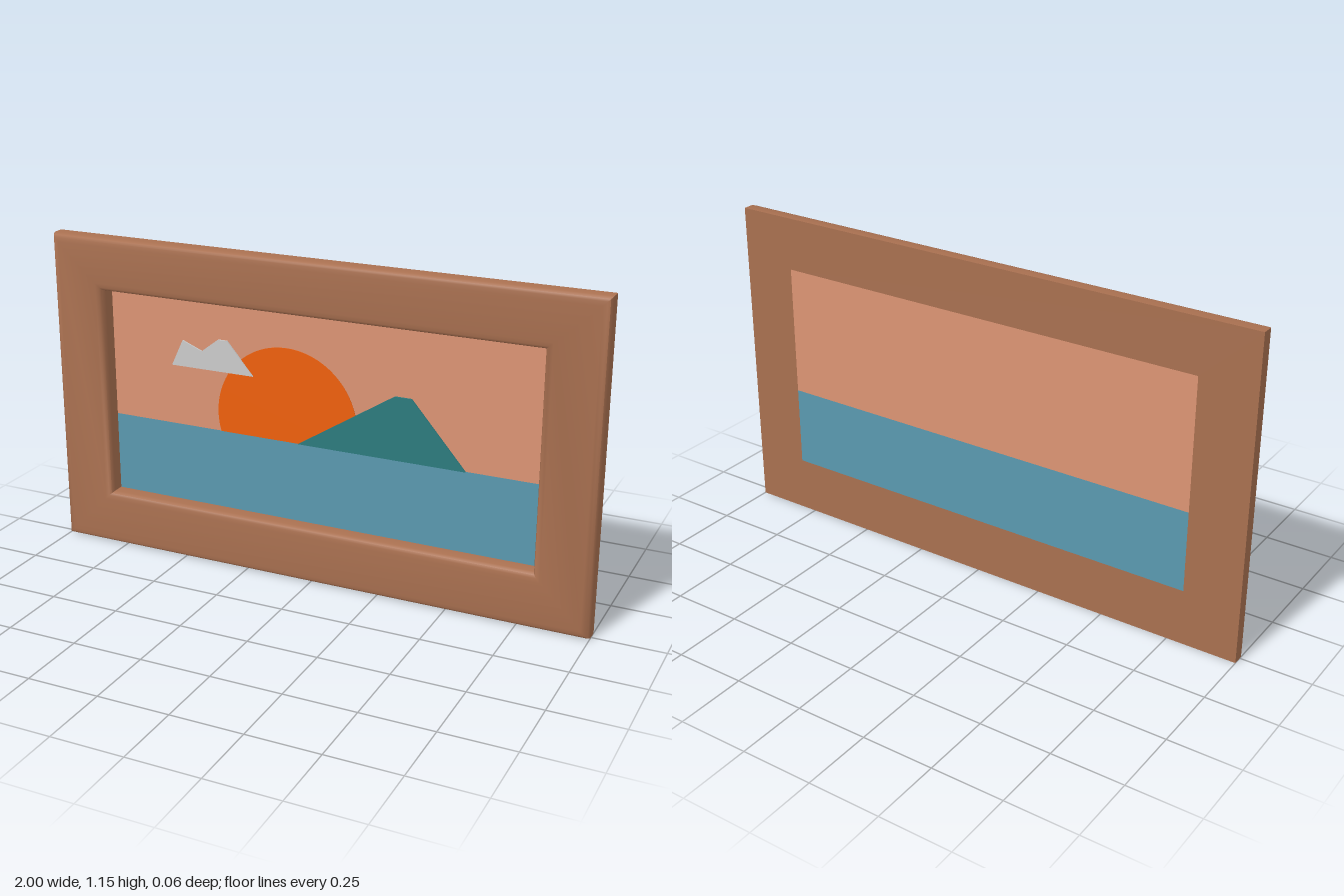
import * as THREE from 'three';
import { toCreasedNormals } from 'three/addons/utils/BufferGeometryUtils.js';

const BACK = -0.032, FRONT = 0.032, HORIZON = 0.49;
const OUTER = { x: 1, y0: 0, y1: 1.15 };
const HOLE = { x: 0.8, y0: 0.2, y1: 0.96 };

const material = (color) => new THREE.MeshStandardMaterial({ color, side: THREE.DoubleSide });

// Corners of a rectangle grown by d, counter-clockwise from the front
function rectLoop(r, d, z) {
  const x = r.x + d, y0 = r.y0 - d, y1 = r.y1 + d;
  return [[-x, y0, z], [x, y0, z], [x, y1, z], [-x, y1, z]];
}

// Mitred moulding: rounded front edges on both the outside and the opening
function frameGeometry() {
  const edge = [[0, BACK], [0, 0.008], [0.006, 0.024], [0.014, 0.029], [0.028, FRONT]];
  const loops = [
    ...edge.map(([d, z]) => rectLoop(OUTER, -d, z)),
    ...edge.slice().reverse().map(([d, z]) => rectLoop(HOLE, d, z)),
  ];
  const positions = [];
  loops.forEach((loop, i) => {
    const next = loops[(i + 1) % loops.length];
    for (let j = 0; j < 4; j++) {
      const k = (j + 1) % 4;
      positions.push(...loop[j], ...loop[k], ...next[k], ...loop[j], ...next[k], ...next[j]);
    }
  });
  const geometry = new THREE.BufferGeometry();
  geometry.setAttribute('position', new THREE.Float32BufferAttribute(positions, 3));
  return toCreasedNormals(geometry, Math.PI / 4);
}

const polygon = (points) => new THREE.Shape(points.map(([x, y]) => new THREE.Vector2(x, y)));

export function createModel() {
  const model = new THREE.Group();
  model.name = 'framedPicture';

  const add = (name, geometry, color, z = 0) => {
    const mesh = new THREE.Mesh(geometry, material(color));
    mesh.name = name;
    mesh.position.z = z;
    model.add(mesh);
  };
  // Flat cut-out layer of the picture
  const addLayer = (name, shape, color, z, depth) =>
    add(name, new THREE.ExtrudeGeometry(shape, { depth, bevelEnabled: false, curveSegments: 48 }), color, z);

  add('frame', frameGeometry(), 0xa97050);

  // Sky and sea panels lie flush with the back of the frame
  const panel = (y0, y1) => new THREE.PlaneGeometry(2 * HOLE.x, y1 - y0).translate(0, (y0 + y1) / 2, 0);
  add('sky', panel(HORIZON, HOLE.y1), 0xdc9474, BACK);
  add('sea', panel(HOLE.y0, HORIZON), 0x5a99b0, BACK);

  // Sun cut off by the horizon
  const sunY = 0.563, sunR = 0.265;
  const dip = Math.asin((sunY - HORIZON) / sunR);
  const sun = new THREE.Shape();
  sun.absarc(-0.115, sunY, sunR, -dip, Math.PI + dip, false);
  sun.closePath();
  addLayer('sun', sun, 0xf0600c, BACK + 0.001, 0.002);

  addLayer('mountain', polygon([[-0.07, HORIZON], [0.54, HORIZON], [0.345, 0.715], [0.285, 0.715]]),
    0x2c7b7e, BACK + 0.001, 0.006);
  addLayer('cloud', polygon([[-0.56, 0.71], [-0.24, 0.71], [-0.34, 0.825], [-0.375, 0.825], [-0.44, 0.775], [-0.515, 0.805]]),
    0xc4c4c4, BACK + 0.001, 0.006);

  return model;
}
